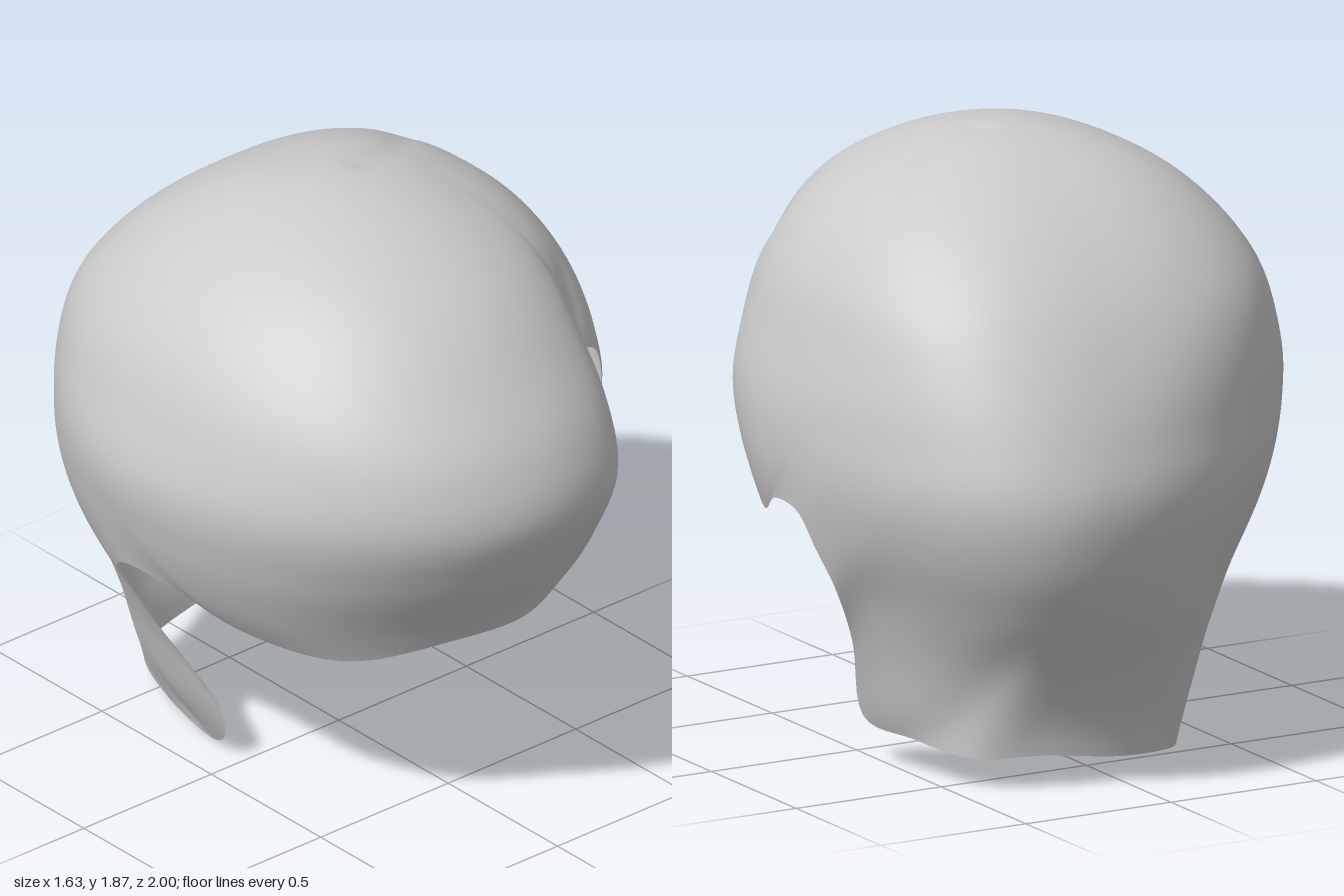
import * as THREE from 'three';

const { smoothstep, clamp } = THREE.MathUtils;
const V = (x, y, z) => new THREE.Vector3(x, y, z);
const CENTRE = V(0, 0.9, 0);
const POLE = V(-0.28, 1, -1).normalize();
const TOP = 1.88, COLS = 200, ROWS = 56;

// Half-widths of evenly spaced level slices: [right, left, front, back]
const SLICES = [
  [0.36, 0.50, 0.60, 0.69],
  [0.43, 0.55, 0.65, 0.71],
  [0.50, 0.60, 0.70, 0.79],
  [0.60, 0.67, 0.78, 0.90],
  [0.72, 0.76, 0.84, 0.975],
  [0.79, 0.81, 0.935, 1.00],
  [0.82, 0.81, 1.00, 0.95],
  [0.775, 0.765, 0.95, 0.865],
  [0.695, 0.70, 0.81, 0.74],
  [0.53, 0.55, 0.61, 0.54],
  [0, 0, 0, 0],
];

// Hemline: fringe, notch, left side, ear, neck, right ear and back to the fringe
const HEM = [
  [0, 0.73, 0.85], [0.14, 0.8, 0.85], [0.26, 0.89, 0.84], [0.35, 1.03, 0.79],
  [0.4, 1.18, 0.71], [0.44, 1.36, 0.6], [0.52, 1.33, 0.56], [0.6, 1.2, 0.5],
  [0.67, 1.0, 0.4], [0.71, 0.87, 0.28], [0.73, 0.75, 0.15], [0.78, 0.82, 0],
  [0.79, 0.81, -0.15], [0.76, 0.7, -0.21], [0.72, 0.6, -0.24], [0.62, 0.4, -0.18],
  [0.54, 0.14, -0.11], [0.51, 0.12, -0.35], [0.43, 0.1, -0.58], [0.25, 0.11, -0.68],
  [0, 0.08, -0.7], [-0.23, 0.06, -0.62], [-0.33, 0.04, -0.4], [-0.36, 0.01, -0.15],
  [-0.41, 0.1, -0.04], [-0.45, 0.22, -0.03], [-0.52, 0.4, -0.17], [-0.6, 0.56, -0.22],
  [-0.68, 0.68, -0.22], [-0.73, 0.76, -0.13], [-0.71, 0.75, 0.08], [-0.62, 0.66, 0.28],
  [-0.45, 0.61, 0.55], [-0.2, 0.68, 0.76],
].map((p) => V(...p));

// Shallow grooves: the crease above the notch and the parting on the crown
const GROOVES = [
  { line: new THREE.Line3(V(0.46, 1.42, 0.6), V(0.54, 1.57, 0.47)), width: 0.07, depth: 0.02 },
  { line: new THREE.Line3(V(0.1, 1.86, -0.02), V(0.3, 1.82, -0.08)), width: 0.045, depth: 0.012 },
  { line: new THREE.Line3(V(0.3, 1.82, -0.08), V(0.5, 1.74, -0.28)), width: 0.045, depth: 0.012 },
];

// Smoothly interpolated squared half-width at height y
function widthSq(y, k) {
  const f = clamp((y / TOP) * 10, 0, 9.9999);
  const i = Math.floor(f), t = f - i;
  const s = (j) => (j > 10 ? -(SLICES[9][k] ** 2) : SLICES[Math.max(j, 0)][k] ** 2);
  const [a, b, c, d] = [s(i - 1), s(i), s(i + 1), s(i + 2)];
  return b + 0.5 * t * (c - a + t * (2 * a - 5 * b + 4 * c - d + t * (3 * (b - c) + d - a)));
}

// Roundness of each slice quarter: fuller at the neck and the back of the crown
function cornerPower(isRight, isFront, neck, crown) {
  if (isFront) return 2 + 0.6 * neck + (isRight ? 0.2 : -0.15) * crown;
  return isRight ? 2.2 + 0.2 * neck + 0.4 * crown : 2 + 0.6 * neck + 0.5 * crown;
}

function inside(p) {
  if (p.y >= TOP) return false;
  const neck = 1 - smoothstep(p.y, 0.1, 0.75);
  const crown = smoothstep(p.y, 1.05, 1.5);
  const mid = -0.15 * neck;
  const skew = 0.2 * (1 - neck) * (1 - 0.5 * crown);
  const x = p.x - (p.z < 0 ? skew * p.z * p.z : 0);
  const z = p.z - mid;
  const wx = Math.sqrt(Math.max(widthSq(p.y, x < 0 ? 0 : 1), 1e-6));
  const wz = Math.sqrt(Math.max(widthSq(p.y, z > 0 ? 2 : 3), 1e-6)) - Math.sign(z) * mid;
  const power = cornerPower(x < 0, z > 0, neck, crown);
  return Math.abs(x / wx) ** power + Math.abs(z / wz) ** power < 1;
}

// Distance from the centre to the head shape along a direction
function reach(dir) {
  const at = (r) => CENTRE.clone().addScaledVector(dir, r);
  let lo = 0.2, hi = 0.25;
  while (hi < 1.6 && inside(at(hi))) { lo = hi; hi += 0.05; }
  for (let i = 0; i < 22; i++) {
    const m = (lo + hi) / 2;
    if (inside(at(m))) lo = m; else hi = m;
  }
  return lo;
}

function groove(p) {
  const near = V(0, 0, 0);
  return Math.max(...GROOVES.map((g) => {
    const d = g.line.closestPointToPoint(p, true, near).distanceTo(p) / g.width;
    return g.depth * Math.exp(-d * d);
  }));
}

export function createModel() {
  const hem = new THREE.CatmullRomCurve3(HEM, true, 'centripetal');
  const positions = [], index = [];
  positions.push(...CENTRE.clone().addScaledVector(POLE, reach(POLE)).toArray());

  // Each strand line runs from the back of the crown to a point on the hem
  for (let c = 0; c < COLS; c++) {
    const end = hem.getPoint(c / COLS).sub(CENTRE);
    const endLength = end.length();
    end.normalize();
    const angle = POLE.angleTo(end);
    const axis = POLE.clone().cross(end).normalize();
    const pull = endLength - reach(end);
    for (let r = 1; r <= ROWS; r++) {
      const t = r / ROWS;
      const dir = POLE.clone().applyAxisAngle(axis, angle * t);
      const p = CENTRE.clone().addScaledVector(dir, reach(dir) + pull * t ** 8);
      p.addScaledVector(dir, -groove(p) * (1 - t ** 12));
      positions.push(p.x, p.y, p.z);
    }
  }
  const id = (c, r) => (r === 0 ? 0 : 1 + (c % COLS) * ROWS + r - 1);
  for (let c = 0; c < COLS; c++) {
    index.push(0, id(c, 1), id(c + 1, 1));
    for (let r = 1; r < ROWS; r++) {
      const a = id(c, r), b = id(c, r + 1), d = id(c + 1, r), e = id(c + 1, r + 1);
      index.push(a, b, e, a, e, d);
    }
  }
  const geometry = new THREE.BufferGeometry();
  geometry.setAttribute('position', new THREE.Float32BufferAttribute(positions, 3));
  geometry.setIndex(index);
  geometry.computeVertexNormals();

  const hair = new THREE.Mesh(geometry,
    new THREE.MeshStandardMaterial({ color: 0xcccccc, side: THREE.DoubleSide }));
  hair.name = 'hairShell';
  const group = new THREE.Group();
  group.name = 'hair';
  group.add(hair);
  return group;
}
